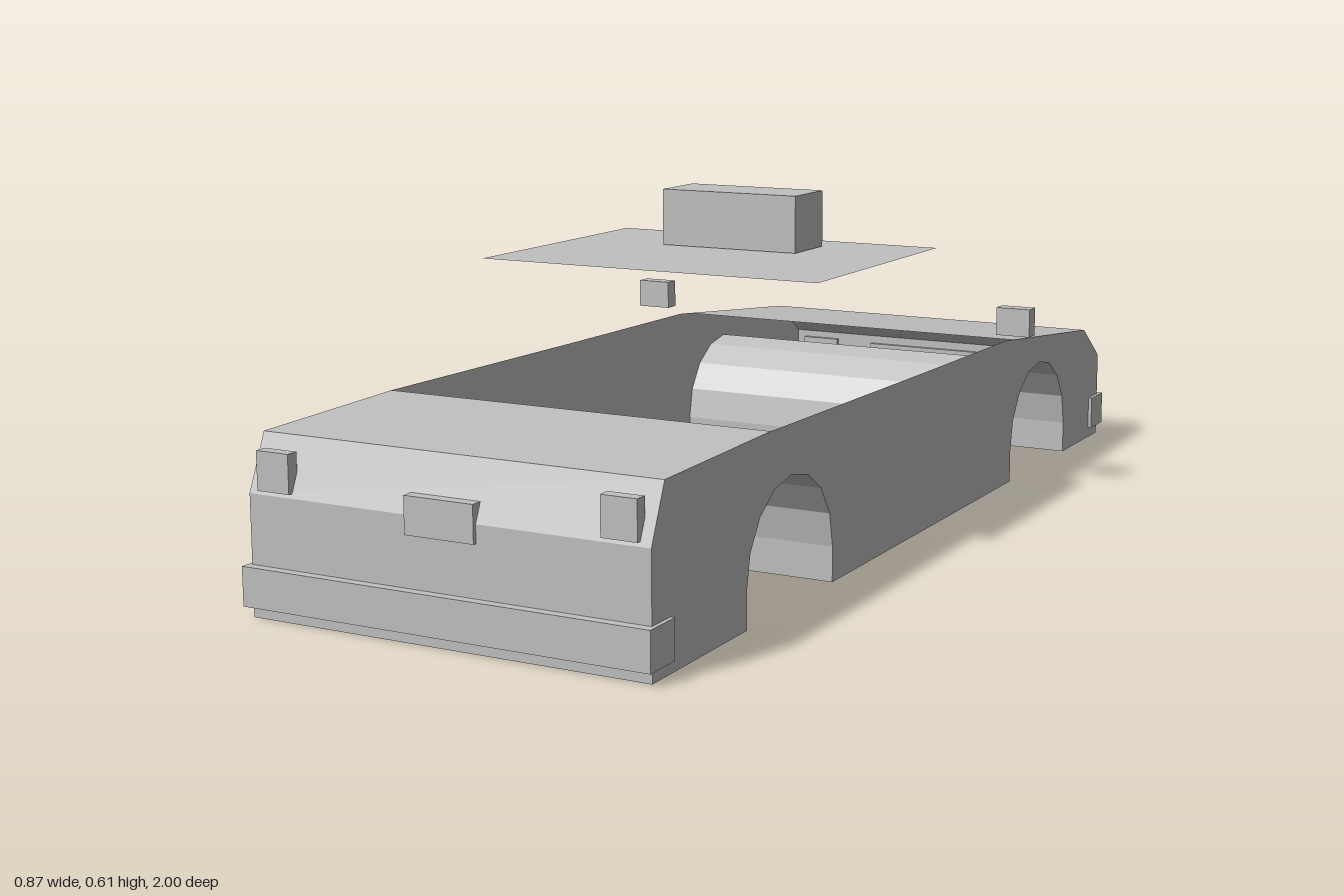
import * as THREE from 'three';

const paint = new THREE.MeshStandardMaterial({ color: 0xc0c0c0, side: THREE.DoubleSide, flatShading: true });
paint.name = 'grey paint';

const HALF = 0.365; // half width of the body

// Wheel arch outline from its rear foot to its front foot, as [z, y] points
function arch(cz, r = 0.156, cy = 0.062, steps = 8) {
  const pts = [[cz - r, 0]];
  for (let i = 0; i <= steps; i++) {
    const a = Math.PI * (1 - i / steps);
    pts.push([cz + r * Math.cos(a), cy + r * Math.sin(a)]);
  }
  pts.push([cz + r, 0]);
  return pts;
}

// Skin across the body width along a [z, y] path
function skin(path) {
  const pos = [];
  for (let i = 0; i < path.length - 1; i++) {
    const [z0, y0] = path[i], [z1, y1] = path[i + 1];
    const a = [-HALF, y0, z0], b = [HALF, y0, z0], c = [HALF, y1, z1], d = [-HALF, y1, z1];
    pos.push(...a, ...b, ...c, ...a, ...c, ...d);
  }
  const g = new THREE.BufferGeometry();
  g.setAttribute('position', new THREE.Float32BufferAttribute(pos, 3));
  g.computeVertexNormals();
  return g;
}

export function createModel() {
  const model = new THREE.Group();
  model.name = 'car';

  const add = (name, geometry) => {
    const mesh = new THREE.Mesh(geometry, paint);
    mesh.name = name;
    model.add(mesh);
    return mesh;
  };
  // Box given by its limits on each axis
  const box = (name, x0, x1, y0, y1, z0, z1) =>
    add(name, new THREE.BoxGeometry(x1 - x0, y1 - y0, z1 - z0))
      .position.set((x0 + x1) / 2, (y0 + y1) / 2, (z0 + z1) / 2);
  const pair = (name, x0, x1, ...rest) => {
    box(name + 'Left', x0, x1, ...rest);
    box(name + 'Right', -x1, -x0, ...rest);
  };

  // Body shell: decks, ends, arches and floor, open over the cabin
  const shell = [
    [-0.458, 0.287], [-0.888, 0.243], [-0.984, 0.174], [-0.984, 0],
    ...arch(-0.612), ...arch(0.53),
    [0.983, 0], [0.983, 0.203], [0.943, 0.296], [0.604, 0.303],
  ];
  add('bodyShell', skin(shell));

  // Flat body sides, with the belt line closing the outline
  const outline = [...shell, [0, 0.295], [-0.417, 0.291]];
  const sideShape = new THREE.Shape(outline.map(([z, y]) => new THREE.Vector2(z, y)));
  for (const s of [1, -1]) {
    const side = add(s > 0 ? 'bodySideLeft' : 'bodySideRight',
      new THREE.ShapeGeometry(sideShape).rotateY(-Math.PI / 2));
    side.position.x = s * HALF;
  }

  // Thin roof sheet with the box sign on it
  const roof = add('roof', new THREE.PlaneGeometry(0.664, 0.508).rotateX(-Math.PI / 2));
  roof.position.set(0, 0.505, 0.114);
  box('roofSign', -0.137, 0.137, 0.506, 0.61, -0.057, 0.057);

  // Bumpers
  box('frontBumper', -0.372, 0.372, 0.021, 0.087, 0.928, 1);
  box('rearBumper', -0.372, 0.372, 0.021, 0.087, -1, -0.93);

  // Lamps and plates
  pair('frontLamp', 0.283, 0.345, 0.21, 0.275, 0.966, 0.988);
  box('frontPlate', -0.063, 0.063, 0.173, 0.235, 0.967, 0.99);
  pair('rearLamp', 0.262, 0.345, 0.1, 0.16, -0.991, -0.975);
  box('rearPlate', -0.177, 0.177, 0.095, 0.157, -0.991, -0.975);

  // Side mirrors
  pair('mirror', 0.365, 0.433, 0.311, 0.365, -0.395, -0.365);

  return model;
}
